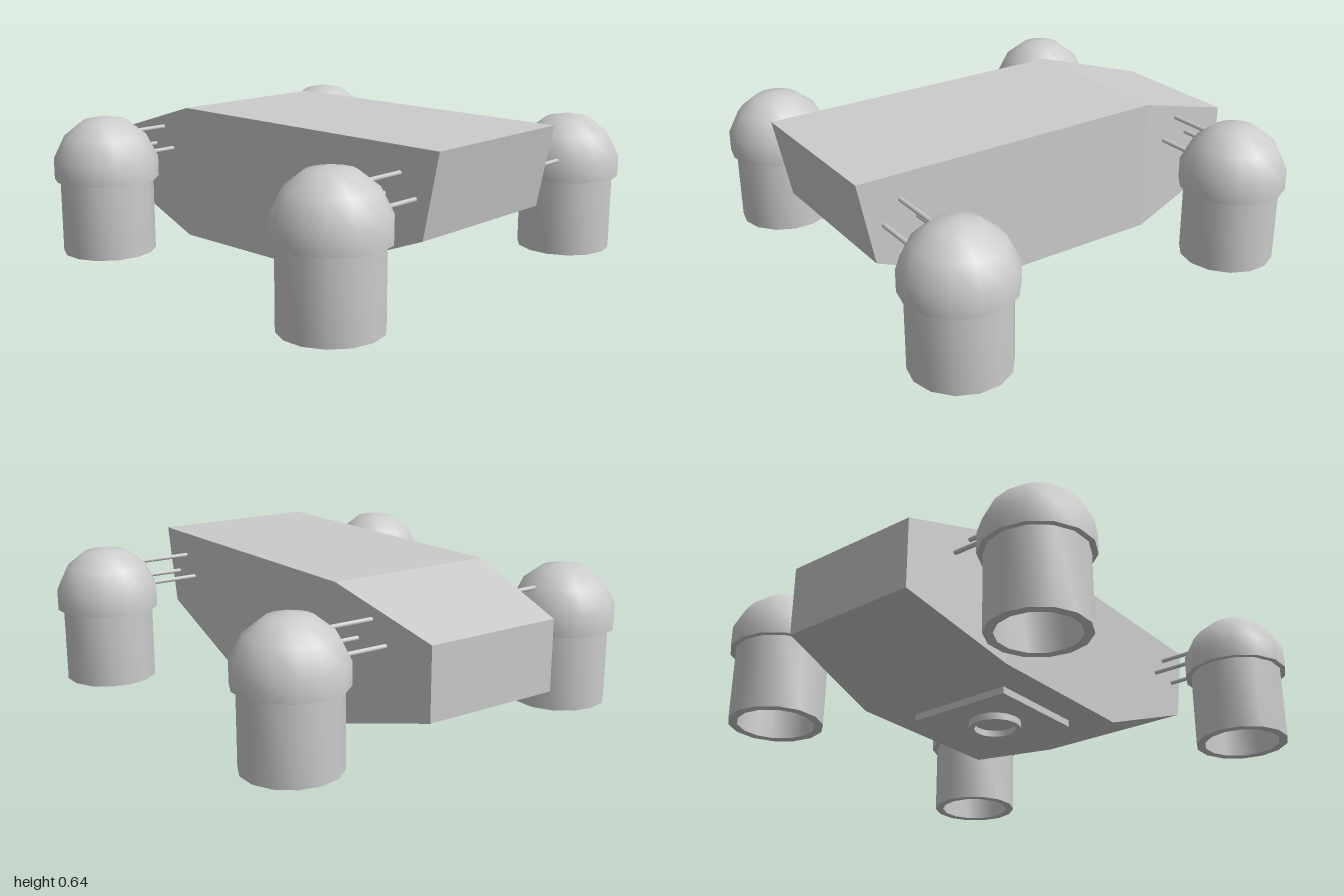
import * as THREE from 'three';
import { toCreasedNormals } from 'three/addons/utils/BufferGeometryUtils.js';
import { ConvexGeometry } from 'three/addons/geometries/ConvexGeometry.js';

const grey = new THREE.MeshStandardMaterial({ color: 0xcccccc });

function part(name, geometry, parent, x = 0, y = 0, z = 0) {
  const mesh = new THREE.Mesh(geometry, grey);
  mesh.name = name;
  mesh.position.set(x, y, z);
  parent.add(mesh);
  return mesh;
}

// Turned part from [radius, height] pairs, smooth around and sharp at the rims
function turned(profile, sides) {
  const points = profile.map(([r, y]) => new THREE.Vector2(r, y));
  return toCreasedNormals(new THREE.LatheGeometry(points, sides), 0.7);
}

// Wedge hull: side profile as [z, y, half width]
function hullGeometry() {
  const profile = [
    [0.94, 0.64, 0.38], [-0.48, 0.645, 0.38], [-0.985, 0.5, 0.31],
    [-0.985, 0.2, 0.31], [-0.48, 0.06, 0.38], [0.28, 0.06, 0.38], [0.87, 0.29, 0.38],
  ];
  const corners = profile.flatMap(([z, y, w]) =>
    [-1, 1].map((s) => new THREE.Vector3(s * w, y, z)));
  return new ConvexGeometry(corners);
}

export function createModel() {
  const model = new THREE.Group();
  model.name = 'hoverCraft';

  // Hull sits slightly off the centre line
  part('hull', hullGeometry(), model, -0.02);
  part('bellyPlate', new THREE.BoxGeometry(0.48, 0.05, 0.46), model, -0.02, 0.055, -0.09);
  part('bellyRing', turned(
    [[0, 0.028], [0.09, 0.028], [0.09, 0], [0.113, 0], [0.113, 0.035]], 16), model, -0.038, 0, -0.095);

  // Hollow engine pod with an overhanging dome
  const podGeometry = turned([
    [0, 0.35], [0.165, 0.35], [0.165, 0.02], [0.203, 0.02], [0.203, 0.35],
    [0.227, 0.35], [0.227, 0.44], [0.177, 0.54], [0.095, 0.605], [0, 0.625],
  ], 14);

  // Four pods, each carried by three thin struts
  const mounts = [
    { name: 'front', x: 0.773, z: 0.755 },
    { name: 'rear', x: 0.7, z: -0.678 },
  ];
  for (const { name, x, z } of mounts) {
    for (const side of [-1, 1]) {
      const assembly = new THREE.Group();
      assembly.name = name + (side > 0 ? 'LeftEngine' : 'RightEngine');
      model.add(assembly);
      part('enginePod', podGeometry, assembly, side * x, 0, z);

      const inner = 0.26, outer = x - 0.17;
      const strut = new THREE.CylinderGeometry(0.01, 0.01, outer - inner, 8).rotateZ(Math.PI / 2);
      for (const [y, dz] of [[0.445, -0.075], [0.535, 0], [0.445, 0.075]]) {
        part('strut', strut, assembly, side * (inner + outer) / 2, y, z + dz);
      }
    }
  }
  return model;
}
